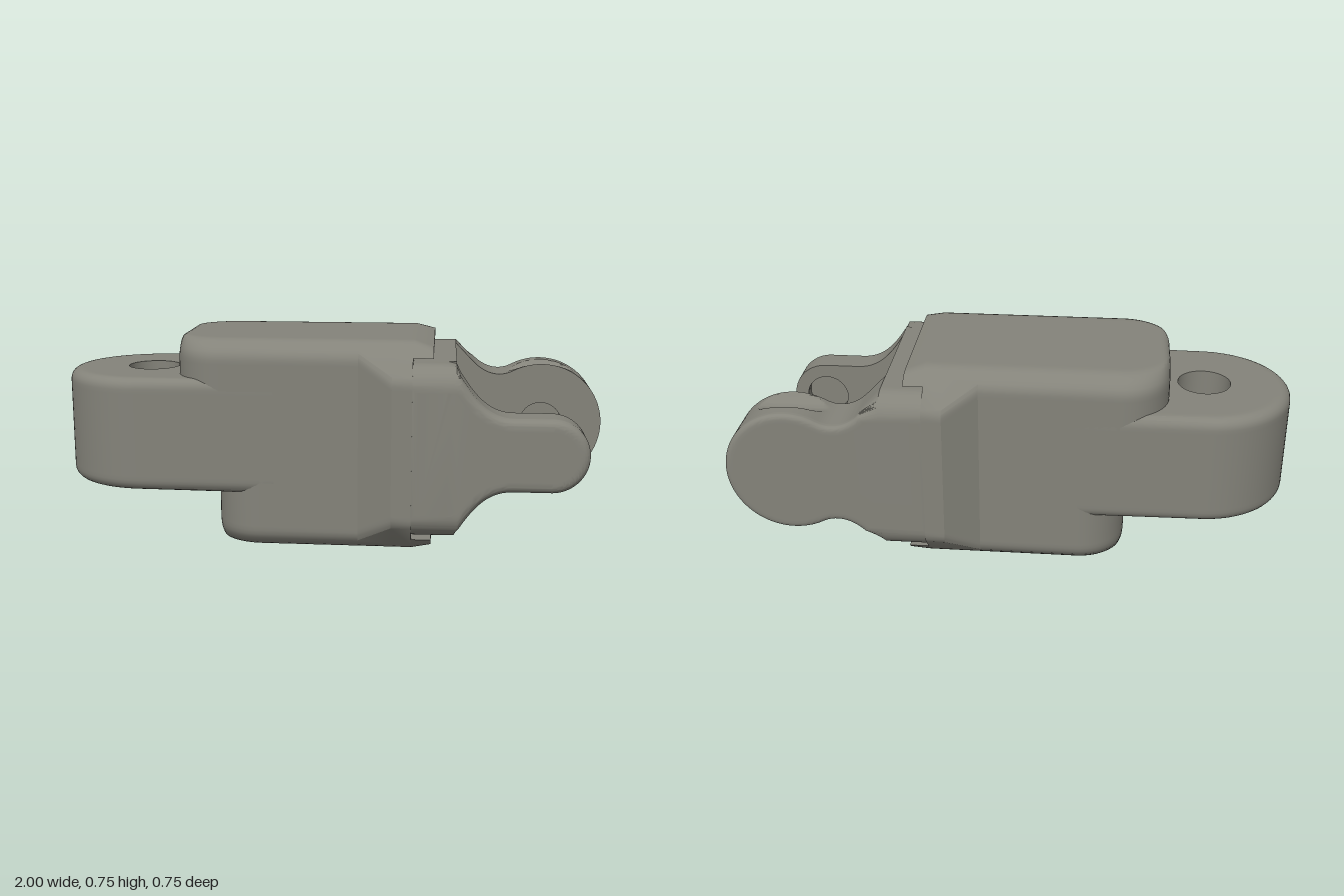
import * as THREE from 'three';
import { toCreasedNormals } from 'three/addons/utils/BufferGeometryUtils.js';

const H = 0.3775; // half height; parts are built around y = 0 and lifted by H
const V = (x, y) => new THREE.Vector2(x, y);
const arcDrop = (r, d) => (d >= r ? 0 : r - Math.sqrt(r * r - (r - d) ** 2));

// Skin a stack of counter-clockwise rings [{ z, pts }] with caps and an optional round hole
function loft(rings, hole) {
  const pos = [];
  const tri = (a, b, c) => pos.push(...a, ...b, ...c);
  const at = (p, z) => [p.x, p.y, z];
  for (let k = 0; k < rings.length - 1; k++) {
    const A = rings[k], B = rings[k + 1], n = A.pts.length;
    for (let i = 0; i < n; i++) {
      const j = (i + 1) % n;
      const a = at(A.pts[i], A.z), b = at(A.pts[j], A.z), c = at(B.pts[j], B.z), d = at(B.pts[i], B.z);
      tri(a, b, c);
      tri(a, c, d);
    }
  }
  const face = (pts, holes, z, up) => {
    const all = pts.concat(...holes);
    for (const f of THREE.ShapeUtils.triangulateShape(pts.slice(), holes)) {
      let [a, b, c] = f.map((i) => all[i]);
      const area = (b.x - a.x) * (c.y - a.y) - (b.y - a.y) * (c.x - a.x);
      if ((area > 0) !== up) [b, c] = [c, b];
      tri(at(a, z), at(b, z), at(c, z));
    }
  };
  const circle = [];
  if (hole) {
    for (let i = 0; i < 40; i++) {
      const a = (-i / 40) * Math.PI * 2;
      circle.push(V(hole.x + hole.r * Math.cos(a), hole.r * Math.sin(a)));
    }
  }
  const first = rings[0], last = rings[rings.length - 1];
  for (const [ring, up] of [[first, false], [last, true]]) {
    const cut = hole && (hole.from === ring.z || hole.to === ring.z);
    face(ring.pts, cut ? [circle] : [], ring.z, up);
  }
  if (hole) {
    circle.forEach((p, i) => {
      const q = circle[(i + 1) % circle.length];
      tri(at(p, hole.from), at(q, hole.from), at(q, hole.to));
      tri(at(p, hole.from), at(q, hole.to), at(p, hole.to));
    });
    // floor of a blind hole
    const disc = circle.slice().reverse();
    if (hole.from !== first.z) face(disc, [], hole.from, true);
    if (hole.to !== last.z) face(disc, [], hole.to, false);
  }
  const g = new THREE.BufferGeometry();
  g.setAttribute('position', new THREE.Float32BufferAttribute(pos, 3));
  return toCreasedNormals(g, 0.42);
}

// Move each outline point inwards along its averaged normal
function inset(pts, d) {
  return pts.map((p, i) => {
    const n = pts.length;
    const t = pts[(i + 1) % n].clone().sub(pts[(i + n - 1) % n]).normalize();
    return V(p.x - t.y * d, p.y + t.x * d);
  });
}

// Upper half path, mirrored to a closed counter-clockwise outline
function mirrored(path) {
  const up = path.getPoints(16);
  const low = up.slice(0, -1).reverse().map((p) => V(p.x, -p.y));
  return up.concat(low).reverse();
}

// Rounded turn from the 45 degree shoulder to the flat top; e is where the two planes meet
const shoulder = (e, h) => [
  V(e + 0.025, h - 0.025), V(e + 0.012, h - 0.0143), V(e - 0.003, h - 0.0064),
  V(e - 0.0185, h - 0.0016), V(e - 0.035, h), V(e - 0.05, h),
];
const bothSides = (right) => right.concat(right.slice().reverse().map((p) => V(-p.x, p.y)));

// Half body cross-section
const section = (w, h, c) => bothSides([
  V(w, 0), V(w, h - c - 0.035), V(w, h - c - 0.02), V(w - 0.003, h - c - 0.005),
  V(w - 0.01, h - c + 0.01), ...shoulder(w - c, h),
]);

// Half body running from its rounded back end to the wide front
function halfBody(back) {
  const rings = [];
  const R = 0.17;
  for (let i = 0; i <= 14; i++) {
    const t = R * (1 - Math.cos((i / 14) * Math.PI / 2));
    rings.push({ z: back + t, pts: section(0.305 - arcDrop(R, t), H - arcDrop(0.03, t), 0.05) });
  }
  for (const [x, w, c] of [[back + R + 0.02, 0.305, 0.05], [0.1, 0.305, 0.05], [0.22, 0.375, 0.12], [0.29, 0.375, 0.12]]) {
    rings.push({ z: x, pts: section(w, H, c) });
  }
  return loft(rings).rotateY(Math.PI / 2);
}

// Thin lip overhanging the fork
function lip() {
  const ring = (z, h) => ({ z, pts: bothSides([V(0.3075, 0.325), ...shoulder(0.6325 - h, h)]) });
  return loft([ring(0.28, H), ring(0.29, H), ring(0.36, 0.3575)]).rotateY(Math.PI / 2);
}

// Fork arm; side is the sign of z of its outer face
function arm(path, side, inner, rim, groove) {
  const outline = mirrored(path);
  const thick = 0.375 - inner;
  const slice = (d, shrink, z) => {
    const limit = 0.3075 - arcDrop(0.09, d);
    const u = 0.125 - d; // distance from the groove's centre line
    const dip = groove && Math.abs(u) < 0.058 ? 0.258 - Math.sqrt(0.064 ** 2 - u * u) : 1;
    const pts = inset(outline, shrink).map((p) => {
      const m = Math.min(limit, p.x > 0.6 ? dip : 1);
      return V(p.x, THREE.MathUtils.clamp(p.y, -m, m));
    });
    return { z: side * z, pts };
  };
  // a flat border on the outer face, then slices down to the inner face
  const rings = [slice(0, rim + 0.012, 0.375)];
  for (let i = 0; i <= 36; i++) {
    const d = thick * Math.pow(i / 36, 1.4);
    rings.push(slice(d, arcDrop(rim, d), i === 36 ? inner : 0.375 - d));
  }
  if (side > 0) rings.reverse();
  const a = side * inner, b = side * (inner + 0.04);
  return loft(rings, { x: 0.77, r: 0.08, from: Math.min(a, b), to: Math.max(a, b) });
}

export function createModel() {
  const group = new THREE.Group();
  const material = new THREE.MeshStandardMaterial({ color: 0x84837a });
  const add = (name, geometry, y = H) => {
    const m = new THREE.Mesh(geometry, material);
    m.name = name;
    m.position.y = y;
    group.add(m);
  };

  // Tongue with a vertical pin hole
  const plan = [V(-0.2, -0.305), V(-0.2, 0.305)];
  for (let i = 0; i <= 40; i++) {
    const a = Math.PI / 2 + (i / 40) * Math.PI;
    plan.push(V(-0.69 + 0.31 * Math.cos(a), 0.305 * Math.sin(a)));
  }
  const bottom = 0.205, top = 0.615, r = 0.04;
  const tongueRings = [{ z: bottom, pts: inset(plan, r + 0.015) }];
  for (let i = 0; i <= 6; i++) {
    const d = r * (1 - Math.cos((i / 6) * Math.PI / 2));
    tongueRings.push({ z: bottom + d, pts: inset(plan, arcDrop(r, d)) });
  }
  tongueRings.push({ z: bottom + r + 0.015, pts: plan });
  for (const g of tongueRings.slice().reverse()) {
    tongueRings.push({ z: bottom + top - g.z, pts: g.pts });
  }
  const z1 = tongueRings[tongueRings.length - 1].z;
  add('tongue', loft(tongueRings, { x: -0.69, r: 0.095, from: bottom, to: z1 }).rotateX(-Math.PI / 2), 0);

  // Body halves and their lips
  add('upperBody', halfBody(-0.56));
  add('lowerBody', halfBody(-0.42).rotateX(Math.PI));
  add('upperLip', lip());
  add('lowerLip', lip().rotateX(Math.PI));

  // Fork base between the arms
  add('forkBase', new THREE.BoxGeometry(0.24, 0.615, 0.44).translate(0.32, 0, 0.03));

  // Short front arm
  const front = new THREE.Path();
  front.moveTo(0.27, 0.3075).lineTo(0.41, 0.3075).lineTo(0.44, 0.3).lineTo(0.455, 0.27);
  front.bezierCurveTo(0.5, 0.2, 0.55, 0.13, 0.64, 0.13);
  front.lineTo(0.76, 0.13).absarc(0.77, 0, 0.13, Math.PI / 2, 0, true);
  add('frontArm', arm(front, 1, 0.25, 0.03, false));

  // Long back arm with a scooped groove above and below its round end
  const start = THREE.MathUtils.degToRad(118);
  const rear = new THREE.Path();
  rear.moveTo(0.27, 0.3075).lineTo(0.44, 0.3075).lineTo(0.51, 0.235);
  rear.bezierCurveTo(0.545, 0.2, 0.6, 0.17, 0.77 + 0.23 * Math.cos(start), 0.23 * Math.sin(start));
  rear.absarc(0.77, 0, 0.23, start, 0, true);
  add('backArm', arm(rear, -1, 0.19, 0.02, true));

  return group;
}
